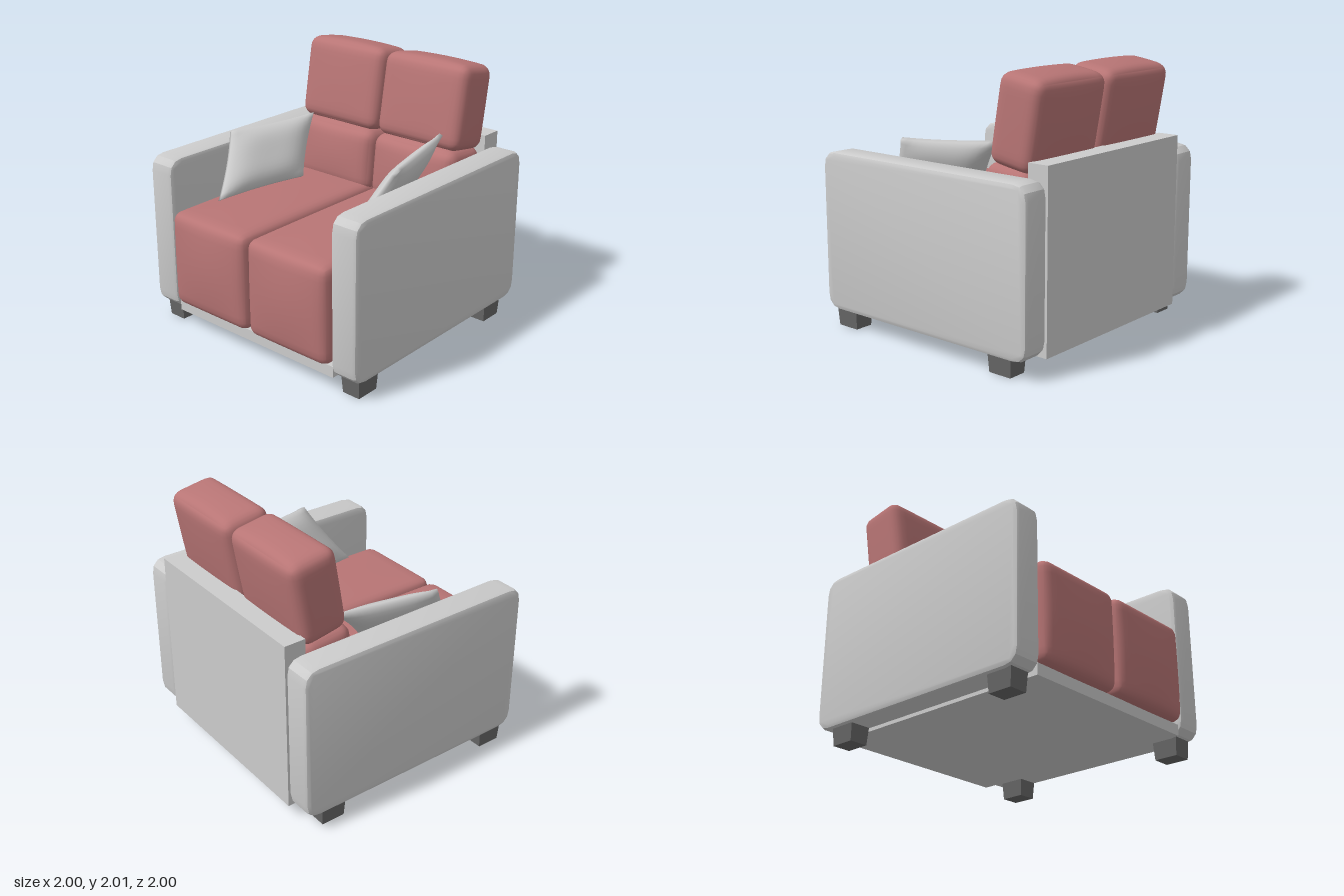
import * as THREE from 'three';
import { mergeVertices, toCreasedNormals } from 'three/addons/utils/BufferGeometryUtils.js';

const grey = new THREE.MeshStandardMaterial({ color: 0xcccccc });
const red = new THREE.MeshStandardMaterial({ color: 0xb87575 });
const dark = new THREE.MeshStandardMaterial({ color: 0x666666 });

// Drop seams between faces and recompute smooth normals
function smooth(geo) {
  geo.deleteAttribute('normal');
  geo.deleteAttribute('uv');
  const merged = mergeVertices(geo, 1e-5);
  merged.computeVertexNormals();
  return merged;
}

// Rounded box whose faces swell by puff [x, y, z]
function cushionGeometry(size, r, puff) {
  const geo = new THREE.BoxGeometry(2, 2, 2, 16, 16, 16);
  const half = new THREE.Vector3(...size).multiplyScalar(0.5);
  const inner = half.clone().subScalar(r);
  const pos = geo.attributes.position;
  const n = new THREE.Vector3(), p = new THREE.Vector3(), q = new THREE.Vector3();
  const ease = (t) => Math.sin(t * Math.PI / 2);
  for (let i = 0; i < pos.count; i++) {
    n.fromBufferAttribute(pos, i);
    n.set(ease(n.x), ease(n.y), ease(n.z));
    p.copy(n).multiply(half);
    q.copy(p).clamp(inner.clone().negate(), inner);
    p.sub(q).setLength(r).add(q);
    const fx = 1 - n.x * n.x, fy = 1 - n.y * n.y, fz = 1 - n.z * n.z;
    p.x += puff[0] * n.x * fy * fz;
    p.y += puff[1] * n.y * fx * fz;
    p.z += puff[2] * n.z * fx * fy;
    pos.setXYZ(i, p.x, p.y, p.z);
  }
  return smooth(geo);
}

// Side panel with rounded corners and bevelled rims
function armGeometry() {
  const b = 0.03, w = 1.93 / 2 - b, h = 1.205 / 2 - b, r = 0.09;
  const s = new THREE.Shape();
  s.moveTo(-w + r, -h);
  s.lineTo(w - r, -h);
  s.quadraticCurveTo(w, -h, w, -h + r);
  s.lineTo(w, h - r);
  s.quadraticCurveTo(w, h, w - r, h);
  s.lineTo(-w + r, h);
  s.quadraticCurveTo(-w, h, -w, h - r);
  s.lineTo(-w, -h + r);
  s.quadraticCurveTo(-w, -h, -w + r, -h);
  const geo = new THREE.ExtrudeGeometry(s, {
    depth: 0.22 - 2 * b, bevelThickness: b, bevelSize: b, bevelSegments: 2, curveSegments: 3,
  });
  geo.center();
  geo.rotateY(-Math.PI / 2);
  return toCreasedNormals(geo, 0.5);
}

// Soft pillow stretched between four corners: back top, front top, front bottom, back bottom
function pillowGeometry(corners) {
  const [a, b, c, d] = corners.map((v) => new THREE.Vector3(...v));
  const normal = b.clone().sub(a).cross(d.clone().sub(a)).normalize();
  const geo = new THREE.BoxGeometry(2, 2, 2, 14, 14, 1);
  const pos = geo.attributes.position;
  const p = new THREE.Vector3(), low = new THREE.Vector3();
  for (let i = 0; i < pos.count; i++) {
    const x = pos.getX(i), y = pos.getY(i), side = pos.getZ(i);
    // edges drawn in a little between the corners
    const u = x * (1 - 0.05 * (1 - y * y)) / 2 + 0.5;
    const v = y * (1 - 0.05 * (1 - x * x)) / 2 + 0.5;
    p.lerpVectors(a, b, u);
    low.lerpVectors(d, c, u);
    p.lerp(low, v);
    p.addScaledVector(normal, side * (0.015 + 0.06 * (1 - x ** 4) * (1 - y ** 4)));
    pos.setXYZ(i, p.x, p.y, p.z);
  }
  // the mapping must keep faces outward whichever way the corners turn
  return smooth(geo);
}

export function createModel() {
  const group = new THREE.Group();
  const add = (name, geo, mat, x = 0, y = 0, z = 0, tilt = 0) => {
    const mesh = new THREE.Mesh(geo, mat);
    mesh.name = name;
    mesh.position.set(x, y, z);
    mesh.rotation.x = tilt;
    group.add(mesh);
    return mesh;
  };

  // Frame
  add('backPanel', new THREE.BoxGeometry(1.55, 1.31, 0.165), grey, 0, 0.775, -0.9175);
  add('base', new THREE.BoxGeometry(1.55, 0.085, 1.735), grey, 0, 0.1625, 0.0325);

  // Shared shapes
  const arm = armGeometry();
  const seat = cushionGeometry([0.76, 0.75, 1.6], 0.075, [0.004, 0.02, 0.035]);
  const lumbar = cushionGeometry([0.76, 0.5, 0.4], 0.09, [0.004, 0.02, 0.03]);
  const head = cushionGeometry([0.76, 0.635, 0.375], 0.08, [0.004, 0.02, 0.012]);
  const foot = new THREE.CylinderGeometry(Math.SQRT1_2, 0.9 * Math.SQRT1_2, 0.14, 4, 1)
    .rotateY(Math.PI / 4).scale(0.16, 1, 0.205).toNonIndexed();
  foot.computeVertexNormals();

  for (const [side, s] of [['left', 1], ['right', -1]]) {
    add(side + 'Arm', arm, grey, s * 0.89, 0.7325, -0.035);
    add(side + 'SeatCushion', seat, red, s * 0.387, 0.58, 0.165);
    add(side + 'LowerBackCushion', lumbar, red, s * 0.387, 1.12, -0.605, -0.1);
    add(side + 'HeadCushion', head, red, s * 0.387, 1.668, -0.695, -0.17);
    add(side + 'FrontFoot', foot, dark, s * 0.89, 0.07, 0.75);
    add(side + 'BackFoot', foot, dark, s * 0.89, 0.07, -0.75);
  }

  // Throw pillows leaning on the arms
  add('rightPillow', pillowGeometry([
    [-0.63, 1.41, -0.46], [-0.78, 1.41, 0.31], [-0.57, 1.0, 0.65], [-0.42, 1.02, -0.1],
  ]), grey);
  add('leftPillow', pillowGeometry([
    [0.645, 1.51, -0.45], [0.815, 1.47, 0.29], [0.63, 1.0, 0.6], [0.47, 1.0, -0.13],
  ]), grey);

  return group;
}
